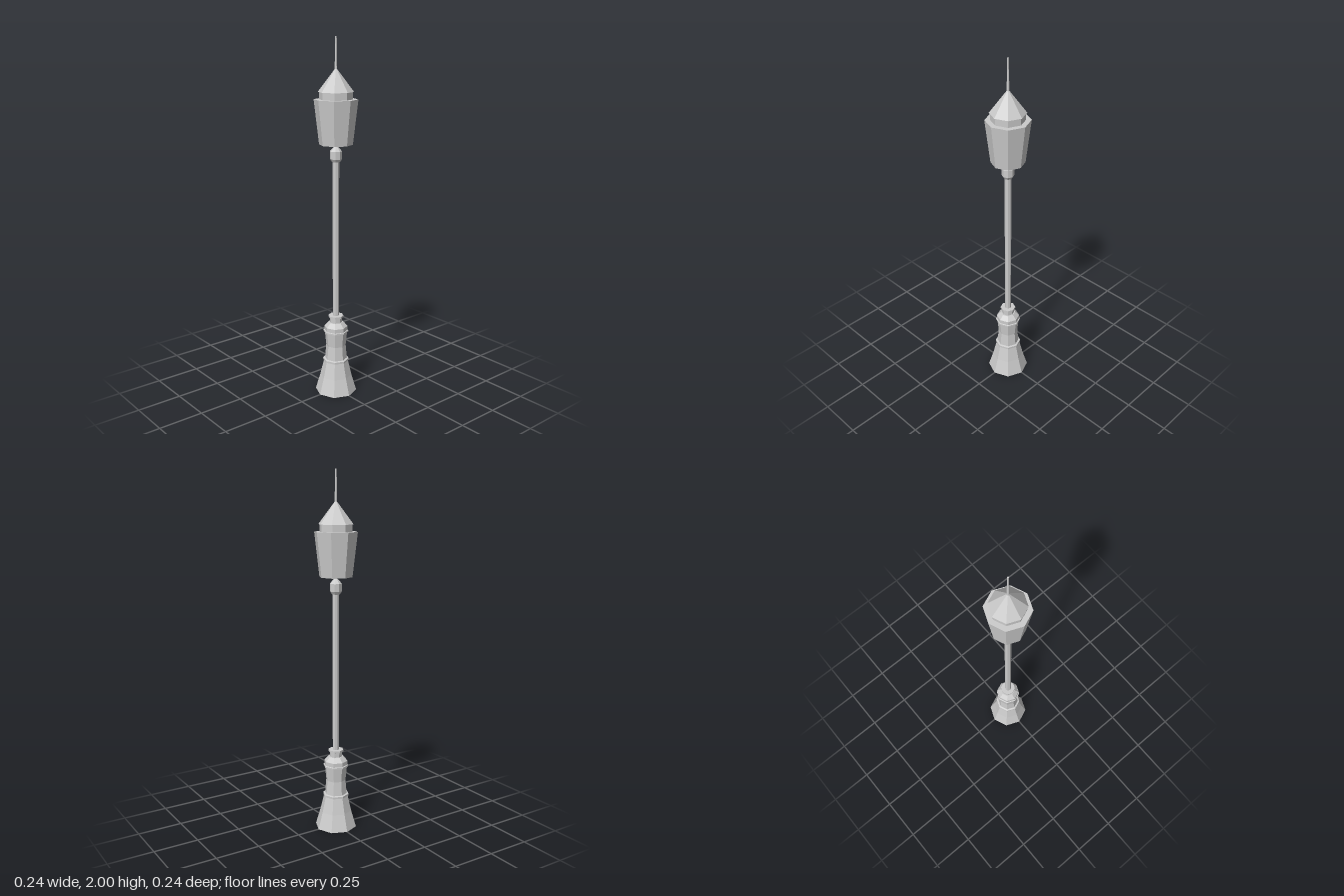
import * as THREE from 'three';

const material = new THREE.MeshStandardMaterial({ color: 0xcccccc, flatShading: true });

// Eight-sided turned part from [radius, height] pairs, listed bottom to top
function turned(name, profile) {
  const points = profile.map(([r, y]) => new THREE.Vector2(r, y));
  const mesh = new THREE.Mesh(new THREE.LatheGeometry(points, 8), material);
  mesh.name = name;
  return mesh;
}

export function createModel() {
  const group = new THREE.Group();
  group.name = 'streetLamp';

  group.add(
    // Flared foot
    turned('foot', [[0, 0], [0.118, 0], [0.09, 0.095], [0.068, 0.188], [0, 0.188]]),
    // Waisted pedestal between two thin rings
    turned('pedestal', [
      [0, 0.186], [0.074, 0.186], [0.074, 0.197], [0.063, 0.2], [0.056, 0.28],
      [0.064, 0.36], [0.071, 0.362], [0.071, 0.37], [0.066, 0.372], [0.066, 0.395],
      [0.042, 0.42], [0, 0.42],
    ]),
    // Neck with rim
    turned('neck', [[0, 0.415], [0.035, 0.415], [0.035, 0.447], [0.043, 0.45], [0.043, 0.46], [0, 0.46]]),
    // Slim post
    turned('post', [[0, 0.45], [0.018, 0.45], [0.018, 1.36], [0, 1.36]]),
    // Collar under the lantern
    turned('collar', [
      [0, 1.342], [0.023, 1.342], [0.033, 1.358], [0.033, 1.4], [0.02, 1.415],
      [0.01, 1.425], [0.01, 1.44], [0, 1.44],
    ]),
    // Tapered lantern body
    turned('lantern', [[0, 1.436], [0.091, 1.436], [0.119, 1.676], [0, 1.676]]),
    // Band between lantern and roof
    turned('roofBand', [[0, 1.67], [0.09, 1.67], [0.09, 1.718], [0, 1.718]]),
    // Pointed roof with a slight overhang
    turned('roof', [[0, 1.715], [0.096, 1.715], [0.007, 1.832], [0, 1.832]]),
    // Needle finial
    turned('finial', [[0, 1.825], [0.007, 1.825], [0.004, 2], [0, 2]]),
  );

  return group;
}
